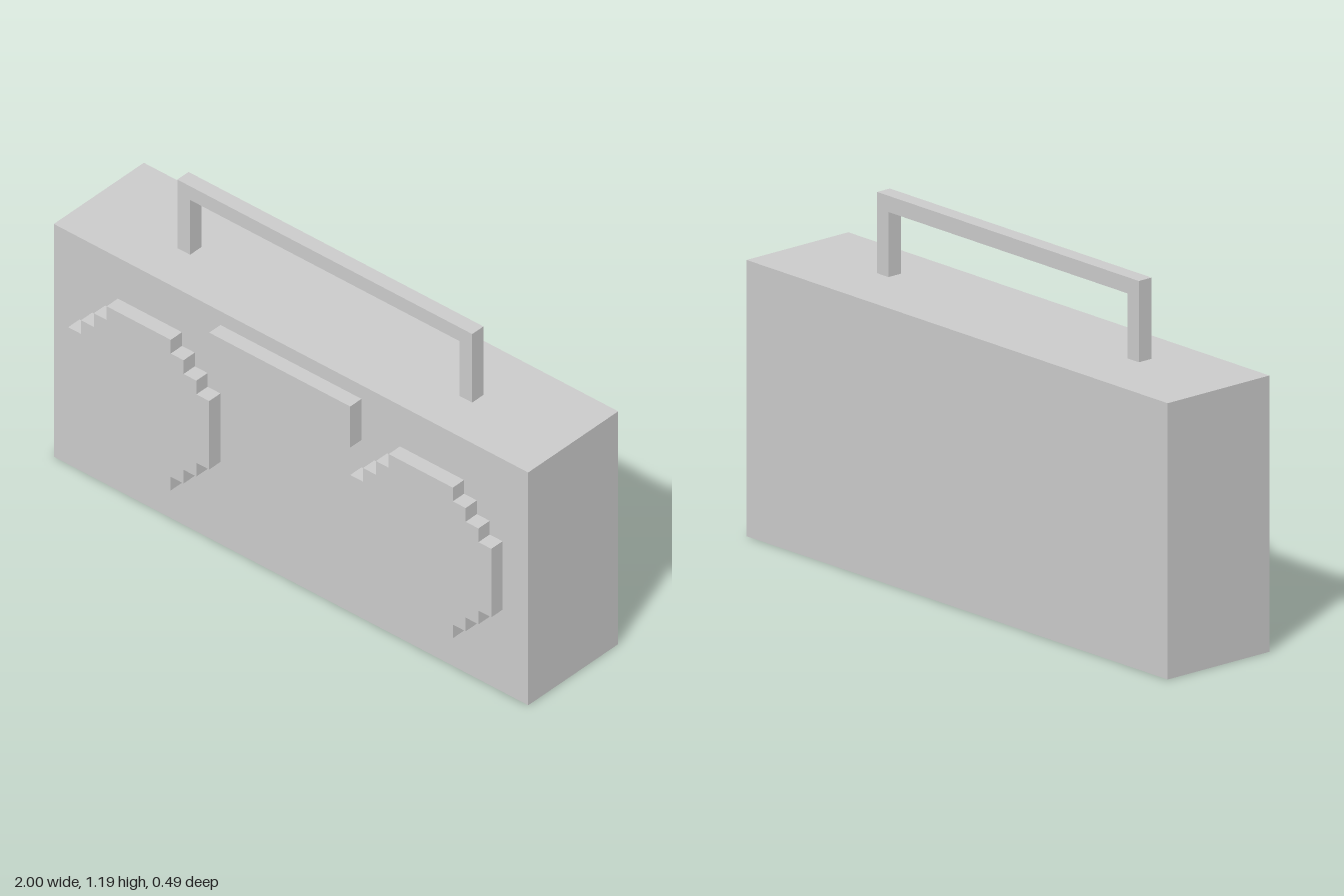
import * as THREE from 'three';

// All sizes are in cells of a regular grid, 37 cells across
const CELL = 2 / 37;

export function createModel() {
  const model = new THREE.Group();
  model.name = 'portableStereo';
  const material = new THREE.MeshStandardMaterial({ color: 0xcccccc, flatShading: true });

  // Extrudes an outline of [x, y] cells from zBack to zFront
  function slab(name, outline, zBack, zFront) {
    const shape = new THREE.Shape(outline.map(([x, y]) => new THREE.Vector2(x * CELL, y * CELL)));
    const geometry = new THREE.ExtrudeGeometry(shape, { depth: (zFront - zBack) * CELL, bevelEnabled: false });
    geometry.translate(0, 0, zBack * CELL);
    const mesh = new THREE.Mesh(geometry, material);
    mesh.name = name;
    model.add(mesh);
  }

  const rect = (x0, y0, x1, y1) => [[x0, y0], [x1, y0], [x1, y1], [x0, y1]];

  // Stepped disc: one quarter's corners, mirrored into the other three
  function steppedDisc(cx, cy) {
    const quarter = [[5.5, 2.5], [4.5, 2.5], [4.5, 3.5], [3.5, 3.5], [3.5, 4.5], [2.5, 4.5], [2.5, 5.5]];
    const flipX = quarter.map(([x, y]) => [-x, y]).reverse();
    const half = [...quarter, ...flipX];
    const lower = half.map(([x, y]) => [-x, -y]);
    return [...half, ...lower].map(([x, y]) => [cx + x, cy + y]);
  }

  // Cabinet and display panel
  slab('cabinet', rect(-18.5, 0, 18.5, 17), -4.5, 3.5);
  slab('displayPanel', rect(-5.5, 13, 5.5, 16), 3.5, 4.5);

  // Speakers
  slab('leftSpeaker', steppedDisc(11, 8.5), 3.5, 4.5);
  slab('rightSpeaker', steppedDisc(-11, 8.5), 3.5, 4.5);

  // Carrying handle
  slab('handle', [
    [-11.5, 17], [-10.5, 17], [-10.5, 21], [10.5, 21],
    [10.5, 17], [11.5, 17], [11.5, 22], [-11.5, 22],
  ], -0.5, 0.5);

  return model;
}
